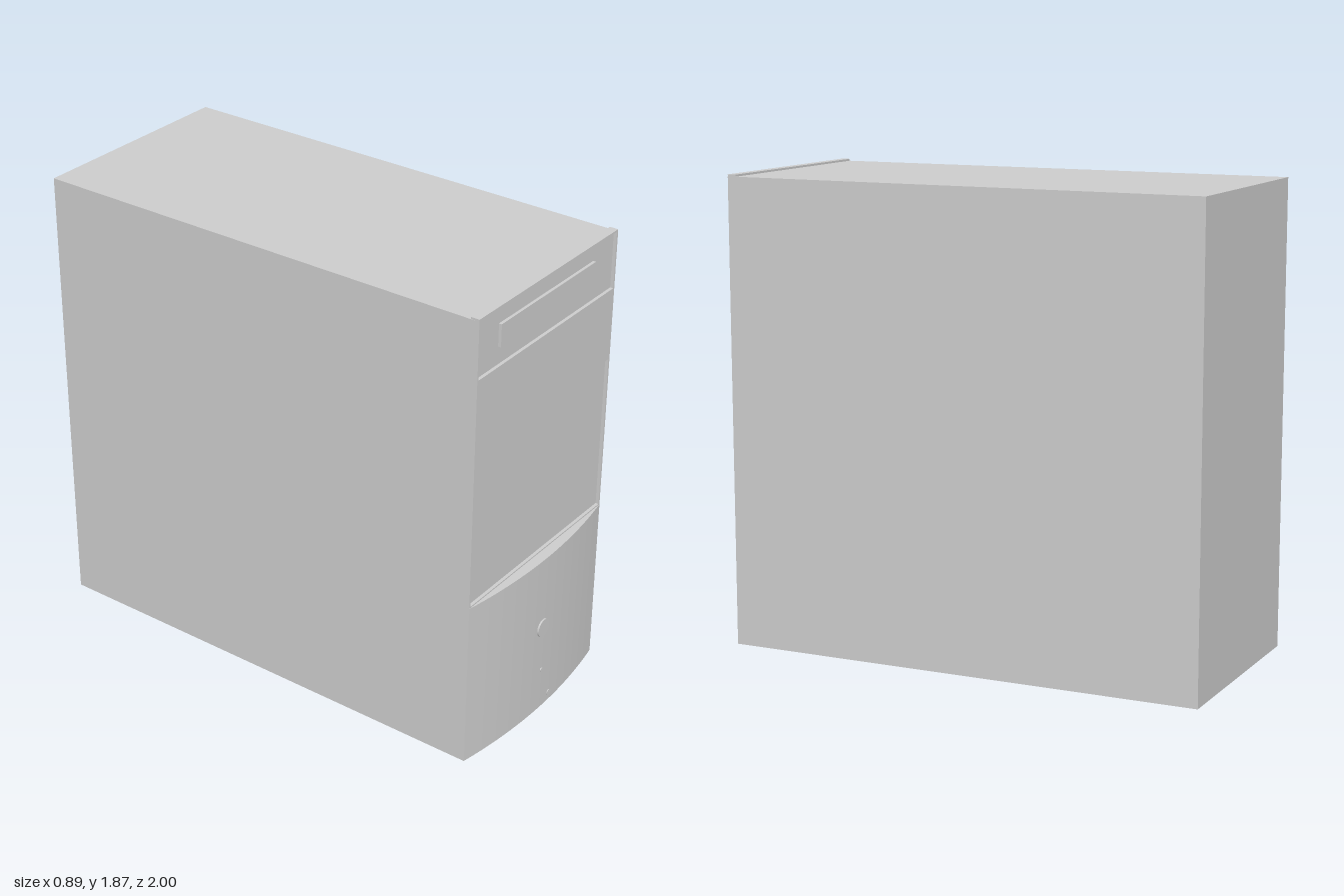
import * as THREE from 'three';

const W = 0.447, TOP = 1.858, LIP = 1.866, BACK = -1, FRONT = 0.95;
const SPLIT = 0.692, BULGE = 0.043;
const grey = new THREE.MeshStandardMaterial({ color: 0xcccccc, side: THREE.DoubleSide });

// Depth of the bowed lower front at a given x
const bow = (x) => FRONT + BULGE * (1 - (x / W) ** 2);

function rect(path, x, y0, y1) {
  path.moveTo(-x, y0);
  path.lineTo(x, y0);
  path.lineTo(x, y1);
  path.lineTo(-x, y1);
  path.closePath();
  return path;
}

export function createModel() {
  const model = new THREE.Group();
  const add = (name, geometry, x = 0, y = 0, z = 0) => {
    const mesh = new THREE.Mesh(geometry, grey);
    mesh.name = name;
    mesh.position.set(x, y, z);
    model.add(mesh);
    return mesh;
  };

  // Sheet-metal case, open underneath
  const depth = FRONT - BACK, midZ = (FRONT + BACK) / 2;
  for (const s of [-1, 1]) {
    add(s > 0 ? 'leftSide' : 'rightSide', new THREE.PlaneGeometry(depth, TOP), s * W, TOP / 2, midZ)
      .rotation.y = s * Math.PI / 2;
  }
  add('backPanel', new THREE.PlaneGeometry(2 * W, TOP), 0, TOP / 2, BACK).rotation.y = Math.PI;
  add('topPanel', new THREE.PlaneGeometry(2 * W, depth - 0.02), 0, TOP, midZ - 0.01).rotation.x = -Math.PI / 2;

  // Upper front frame with two openings, its top forming the raised lip
  const frame = rect(new THREE.Shape(), W - 0.0005, SPLIT, LIP);
  const openings = [['driveBezel', 1.63, 1.858], ['blankPanel', 0.697, 1.335]];
  for (const [, y0, y1] of openings) frame.holes.push(rect(new THREE.Path(), 0.439, y0, y1));
  add('frontFrame', new THREE.ExtrudeGeometry(frame, { depth: 0.035, bevelEnabled: false }), 0, 0, FRONT - 0.035);

  // Recessed panels filling the openings
  for (const [name, y0, y1] of openings) {
    add(name, new THREE.BoxGeometry(0.878, y1 - y0, 0.01), 0, (y0 + y1) / 2, FRONT - 0.018);
  }
  add('driveTray', new THREE.BoxGeometry(0.61, 0.09, 0.02), 0, 1.745, FRONT - 0.011);

  // Bowed lower front
  const lower = new THREE.PlaneGeometry(2 * W, SPLIT, 24, 1);
  const p = lower.attributes.position;
  for (let i = 0; i < p.count; i++) p.setZ(i, bow(p.getX(i)));
  lower.computeVertexNormals();
  add('lowerFront', lower, 0, SPLIT / 2, 0);

  // Ledge closing the top of the bow
  const ledge = new THREE.Shape();
  for (let i = 0; i <= 24; i++) {
    const x = -W + (2 * W * i) / 24;
    if (i) ledge.lineTo(x, -bow(x));
    else ledge.moveTo(x, -bow(x));
  }
  ledge.closePath();
  add('lowerFrontLedge', new THREE.ShapeGeometry(ledge), 0, SPLIT, 0).rotation.x = -Math.PI / 2;

  // Power button and indicator lights
  const disc = (name, r, x, y, tip) =>
    add(name, new THREE.CylinderGeometry(r, r, 0.014, 24), x, y, tip - 0.007).rotation.x = Math.PI / 2;
  disc('powerButton', 0.038, 0, 0.38, 1);
  disc('powerLight', 0.008, 0.005, 0.18, 0.997);
  disc('driveLight', 0.012, 0.07, 0.035, bow(0.07) + 0.003);

  return model;
}
